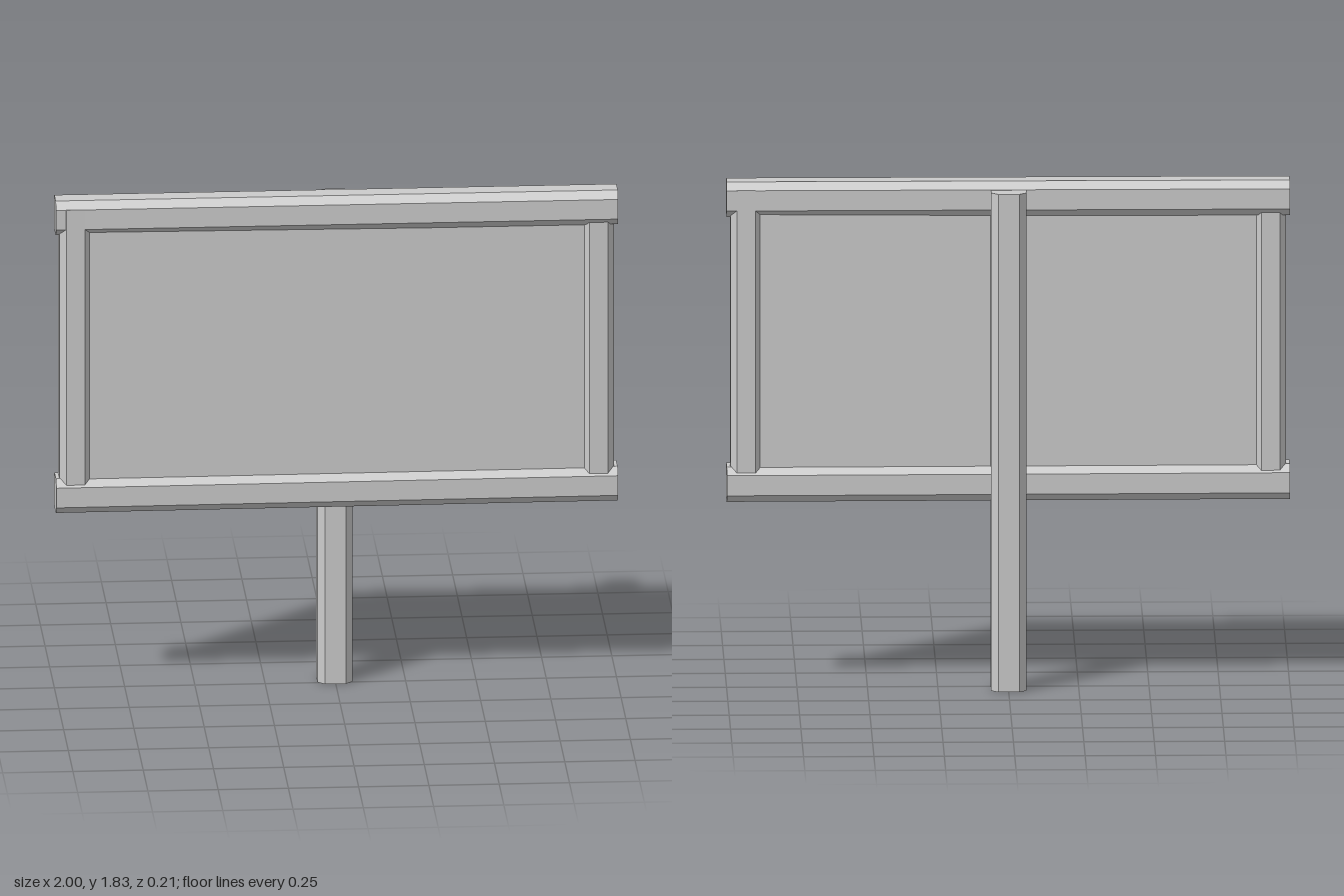
import * as THREE from 'three';

const material = new THREE.MeshStandardMaterial({ color: 0xcccccc, flatShading: true });

// Square beam with chamfered long edges, centred, running along z
function beam(name, half, chamfer, length) {
  const a = half, b = half - chamfer;
  const shape = new THREE.Shape(
    [[a, -b], [a, b], [b, a], [-b, a], [-a, b], [-a, -b], [-b, -a], [b, -a]]
      .map(([x, y]) => new THREE.Vector2(x, y)));
  const geometry = new THREE.ExtrudeGeometry(shape, { depth: length, bevelEnabled: false });
  geometry.translate(0, 0, -length / 2);
  const mesh = new THREE.Mesh(geometry, material);
  mesh.name = name;
  return mesh;
}

function rail(name, y) {
  const mesh = beam(name, 0.0635, 0.027, 2);
  mesh.rotation.y = Math.PI / 2;
  mesh.position.y = y;
  return mesh;
}

function upright(name, x, half, chamfer, bottom, top) {
  const mesh = beam(name, half, chamfer, top - bottom);
  mesh.rotation.x = Math.PI / 2;
  mesh.position.set(x, (top + bottom) / 2, 0);
  return mesh;
}

export function createModel() {
  const model = new THREE.Group();
  model.name = 'signboard';

  // Supporting post behind the board
  const post = upright('post', -0.001, 0.063, 0.026, 0, 1.803);
  post.position.z = -0.043;
  model.add(post);

  // Straight top rail
  const topRail = rail('topRail', 1.768);
  topRail.position.z = 0.0315;
  model.add(topRail);

  // Lower frame and panel, hung very slightly askew
  const frame = new THREE.Group();
  frame.name = 'frame';
  frame.position.z = 0.032;
  frame.rotation.y = 0.009;
  frame.add(rail('bottomRail', 0.738));
  for (const [name, side] of [['leftUpright', 1], ['rightUpright', -1]]) {
    frame.add(upright(name, side * 0.931, 0.056, 0.023, 0.74, 1.805));
  }
  const panel = new THREE.Mesh(new THREE.BoxGeometry(1.86, 1.01, 0.078), material);
  panel.name = 'panel';
  panel.position.y = 1.245;
  frame.add(panel);
  model.add(frame);

  return model;
}
